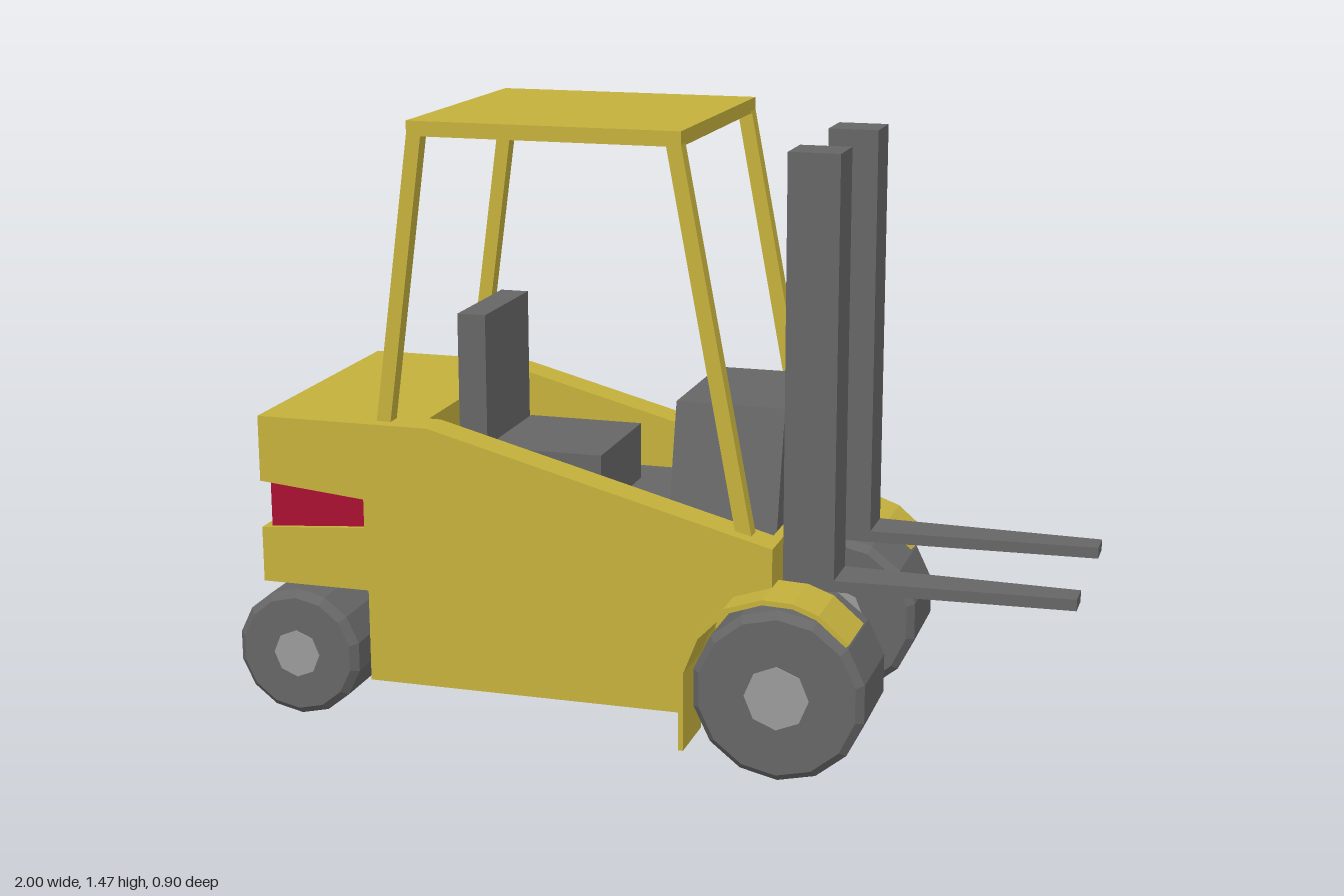
import * as THREE from 'three';

const mat = (color) => new THREE.MeshStandardMaterial({ color, flatShading: true });

export function createModel() {
  const model = new THREE.Group();
  const yellow = mat(0xc4b03c), dark = mat(0x666666), red = mat(0xa81030), light = mat(0x9a9a9a);

  const add = (name, geometry, material) => {
    const mesh = new THREE.Mesh(geometry, material);
    mesh.name = name;
    model.add(mesh);
    return mesh;
  };
  // Side profile (x, y) extruded from z0 to z1
  const prism = (name, pts, z0, z1, material) => {
    const shape = new THREE.Shape(pts.map(([x, y]) => new THREE.Vector2(x, y)));
    const g = new THREE.ExtrudeGeometry(shape, { depth: z1 - z0, bevelEnabled: false });
    return add(name, g.translate(0, 0, z0), material);
  };
  const mirrored = (name, pts, z0, z1, material) => {
    prism(name, pts, z0, z1, material);
    prism(name, pts, -z1, -z0, material);
  };
  const box = (name, x0, x1, y0, y1, z0, z1, material) => add(name,
    new THREE.BoxGeometry(x1 - x0, y1 - y0, z1 - z0)
      .translate((x0 + x1) / 2, (y0 + y1) / 2, (z0 + z1) / 2), material);

  // Body: profiles share the rear lamp groove; the middle has the cockpit pocket
  const groove = [[-0.93, 0.485], [-0.665, 0.505], [-0.665, 0.575], [-0.93, 0.6]];
  const arch = [];
  for (let i = 0; i <= 6; i++) {
    const a = Math.PI / 2 + 0.1 + (i / 6) * 1.2;
    arch.push([0.355 + 0.225 * Math.cos(a), 0.205 + 0.225 * Math.sin(a)]);
  }
  const deck = [[-0.93, 0.76], [-0.5, 0.76], [0.33, 0.54]];
  const pocket = [[-0.93, 0.76], [-0.53, 0.76], [-0.53, 0.5], [0.31, 0.5], [0.31, 0.545], [0.33, 0.54]];
  const under = [...arch, [0.14, 0.265], [-0.5, 0.35], [-0.93, 0.35]];
  mirrored('bodySide', [...groove, ...deck, [0.33, 0.43], ...under], 0.27, 0.36, yellow);
  mirrored('bodyInner', [...groove, ...pocket, [0.33, 0.43], ...under], 0.15, 0.27, yellow);
  prism('bodyCore', [...groove, ...pocket, [0.33, 0.22], [0.22, 0.115], [-0.89, 0.115], [-0.93, 0.17]],
    -0.15, 0.15, yellow);
  mirrored('lowerBody', [[-0.67, 0.115], [0.14, 0.115], [0.14, 0.275], [-0.5, 0.36], [-0.67, 0.36]],
    0.15, 0.335, yellow);

  // Rear panel and tail lamps set into the groove
  const lamp = [[-0.91, 0.486], [-0.665, 0.505], [-0.665, 0.575], [-0.91, 0.598]];
  prism('rearPanel', lamp, -0.335, 0.335, dark);
  mirrored('tailLamp', lamp.map(([x, y]) => [Math.max(x, -0.909), y]), 0.335, 0.347, red);

  // Cockpit
  box('cockpitFloor', -0.53, 0.31, 0.48, 0.53, -0.27, 0.27, dark);
  box('seatBack', -0.5, -0.43, 0.5, 0.99, -0.15, 0.15, dark);
  box('seatCushion', -0.43, -0.14, 0.52, 0.67, -0.16, 0.16, dark);
  const dash = new THREE.BoxGeometry(0.26, 0.32, 0.52);
  const p = dash.attributes.position;
  for (let i = 0; i < p.count; i++) if (p.getY(i) > 0) p.setZ(i, p.getZ(i) * 0.7);
  add('dashboard', dash.translate(0.18, 0.66, -0.01), dark);

  // Overhead guard
  box('guardRoof', -0.545, 0.105, 1.435, 1.47, -0.325, 0.325, yellow);
  mirrored('rearPillar', [[-0.642, 0.74], [-0.607, 0.74], [-0.51, 1.44], [-0.545, 1.44]], 0.288, 0.325, yellow);
  mirrored('frontPillar', [[0.235, 0.555], [0.272, 0.555], [0.105, 1.44], [0.07, 1.44]], 0.288, 0.325, yellow);

  // Masts and tapering forks
  for (const s of [1, -1]) {
    box('mast', 0.33, 0.45, 0.42, 1.425, s * 0.2 - 0.058, s * 0.2 + 0.058, dark);
    const fork = new THREE.Shape([[0.33, -0.058], [0.45, -0.058], [1, -0.035], [1, 0.035], [0.45, 0.058], [0.33, 0.058]]
      .map(([x, y]) => new THREE.Vector2(x, y)));
    const g = new THREE.ExtrudeGeometry(fork, { depth: 0.027, bevelEnabled: false });
    add('fork', g.rotateX(-Math.PI / 2).translate(0, 0.418, s * 0.2), dark);
  }

  // Front mudguards: thin bent strips
  const outer = [[0.135, 0.07], [0.135, 0.26], [0.17, 0.35], [0.24, 0.42], [0.33, 0.45], [0.4, 0.447], [0.46, 0.425], [0.53, 0.365]];
  const inner = [[0.522, 0.357], [0.455, 0.414], [0.4, 0.435], [0.33, 0.438], [0.246, 0.409], [0.181, 0.343], [0.147, 0.257], [0.147, 0.07]];
  mirrored('mudguard', [...outer, ...inner], 0.3, 0.45, yellow);

  // Wheels: lathed tyre with bevelled shoulders and a flat hub on both faces
  const wheel = (name, x, y, z, r, w) => {
    const h = w / 2, b = 0.018;
    const profile = [[0, -h], [r - b, -h], [r, -h + b], [r, h - b], [r - b, h], [0, h]]
      .map(([a, c]) => new THREE.Vector2(a, c));
    const turn = (g) => g.rotateX(Math.PI / 2).translate(x, y, z);
    add(name, turn(new THREE.LatheGeometry(profile, 14)), dark);
    add(name + 'Hub', turn(new THREE.CylinderGeometry(r * 0.37, r * 0.37, w + 0.006, 8)), light);
  };
  for (const s of [1, -1]) {
    wheel('frontWheel', 0.355, 0.205, s * 0.295 - 0.01, 0.205, 0.25);
    wheel('rearWheel', -0.842, 0.18, s * 0.295 - 0.015, 0.158, 0.2);
  }
  return model;
}
